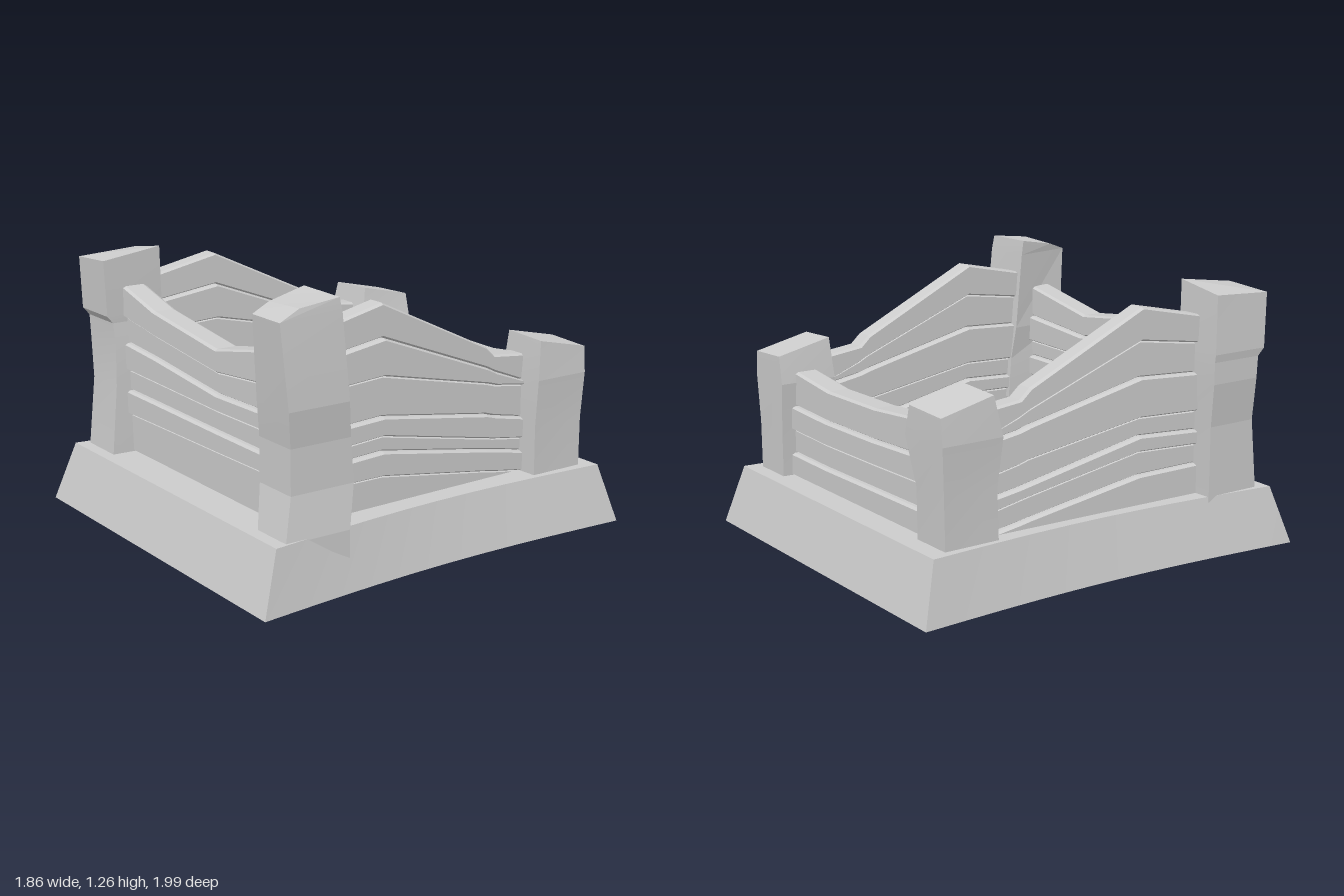
import * as THREE from 'three';
import { toCreasedNormals } from 'three/addons/utils/BufferGeometryUtils.js';

const grey = new THREE.MeshStandardMaterial({ color: 0xcccccc });
grey.name = 'plain grey';

// Joins equal-length rings of points (counter-clockwise seen from above, listed upward)
function loft(rings, { caps = false, crease = 0.5 } = {}) {
  const n = rings[0].length, index = [];
  for (let r = 0; r < rings.length - 1; r++) {
    for (let i = 0; i < n; i++) {
      const a = r * n + i, b = r * n + (i + 1) % n;
      index.push(a, b, b + n, a, b + n, a + n);
    }
  }
  const last = (rings.length - 1) * n;
  for (let i = 1; caps && i < n - 1; i++) {
    index.push(last, last + i, last + i + 1, 0, i + 1, i);
  }
  const g = new THREE.BufferGeometry();
  g.setAttribute('position', new THREE.Float32BufferAttribute(rings.flat(2), 3));
  g.setIndex(index);
  return toCreasedNormals(g, crease);
}

function add(group, name, geometry) {
  const mesh = new THREE.Mesh(geometry, grey);
  mesh.name = name;
  group.add(mesh);
  return mesh;
}

// One loop of the base: long sides pinch inward halfway
function baseRing(y, xFront, xBack, zFront, zBack, pinch) {
  const pts = [], steps = 10;
  const halfWidth = (t) => THREE.MathUtils.lerp(xFront, xBack, t) - pinch * Math.sin(Math.PI * t);
  for (let i = 0; i <= steps; i++) {
    const t = i / steps;
    pts.push([halfWidth(t), y, THREE.MathUtils.lerp(zFront, zBack, t)]);
  }
  for (let i = steps; i >= 0; i--) {
    const t = i / steps;
    pts.push([-halfWidth(t), y, THREE.MathUtils.lerp(zFront, zBack, t)]);
  }
  return pts;
}

// Post from stacked sections [y, x0, x1, z0, z1, skew of the front x0 corner];
// tops holds the four top corner heights
function post(sections, tops) {
  const rings = sections.map(([y, x0, x1, z0, z1, skew = 0], k) => {
    const h = k === sections.length - 1 ? tops : [y, y, y, y];
    return [[x0 + skew, h[0], z1], [x1, h[1], z1], [x1, h[2], z0], [x0, h[3], z0]];
  });
  return loft(rings, { caps: true, crease: 0.1 });
}

// Board cut from upper and lower outlines, extruded with chamfered edges
function board(us, top, bottom, depth) {
  const pts = us.map((u, i) => new THREE.Vector2(u, bottom[i]));
  for (let i = us.length - 1; i >= 0; i--) pts.push(new THREE.Vector2(us[i], top[i]));
  const g = new THREE.ExtrudeGeometry(new THREE.Shape(pts), {
    depth: depth - 0.03, bevelEnabled: true, bevelThickness: 0.015,
    bevelSize: 0.008, bevelOffset: -0.008, bevelSegments: 1,
  });
  return g.translate(0, 0, -depth / 2 + 0.015);
}

// Wall of touching boards: seams run from the top edge down, faces staggered
function wall(name, us, seams, depth) {
  const g = new THREE.Group();
  g.name = name;
  for (let i = 0; i < seams.length - 1; i++) {
    const m = add(g, name + 'Board', board(us, seams[i], seams[i + 1], depth));
    m.position.z = (i % 2 ? -1 : 1) * 0.01;
  }
  return g;
}

export function createModel() {
  const model = new THREE.Group();

  // Hollow base: inner wall, sloped underside, outer skirt and flat rim
  add(model, 'base', loft([
    baseRing(0.27, 0.6, 0.59, 0.66, -0.66, 0),
    baseRing(0.06, 0.6, 0.59, 0.66, -0.66, 0),
    baseRing(0, 0.93, 0.885, 0.998, -0.99, 0.055),
    baseRing(0.275, 0.875, 0.825, 0.905, -0.91, 0.055),
    baseRing(0.27, 0.6, 0.59, 0.66, -0.66, 0),
  ]));

  // Sunken floor boards with slightly skewed seams and uneven ends
  const floor = new THREE.Group();
  floor.name = 'floor';
  const cuts = [-0.66, -0.48, -0.395, -0.24, -0.025, 0.15, 0.285, 0.4, 0.54, 0.66];
  const seam = (i) => [0, 0.008, 0.015 * (i % 2 ? 1 : -1)].map((d) => d - cuts[i]);
  for (let i = 0; i < cuts.length - 1; i++) {
    const end = 0.6 + (i % 3) * 0.012;
    const g = board([-end, -0.35, end], seam(i), seam(i + 1), 0.07);
    g.rotateX(-Math.PI / 2);
    add(floor, 'floorBoard', g).position.y = 0.06 + (i % 2) * 0.016;
  }
  model.add(floor);

  // Front wall
  const front = wall('frontWall', [-0.65, -0.35, 0.18, 0.65], [
    [1.075, 1.0, 0.935, 1.025],
    [0.925, 0.885, 0.83, 0.87],
    [0.8, 0.78, 0.73, 0.74],
    [0.67, 0.665, 0.655, 0.66],
    [0.57, 0.568, 0.562, 0.56],
    [0.455, 0.46, 0.467, 0.475],
    [0.27, 0.27, 0.27, 0.27],
    [0.06, 0.06, 0.06, 0.06],
  ], 0.12);
  front.position.z = 0.685;
  model.add(front);

  // Back wall, lower and sagging
  const back = wall('backWall', [-0.65, -0.15, 0.25, 0.65], [
    [0.78, 0.74, 0.735, 0.78],
    [0.62, 0.6, 0.595, 0.61],
    [0.5, 0.49, 0.485, 0.495],
    [0.385, 0.38, 0.375, 0.38],
    [0.27, 0.27, 0.27, 0.27],
    [0.06, 0.06, 0.06, 0.06],
  ], 0.12);
  back.position.z = -0.72;
  model.add(back);

  // Side walls fall away toward the back and spread slightly toward the front
  for (const s of [1, -1]) {
    const side = wall(s > 0 ? 'leftWall' : 'rightWall', [-0.62, -0.4, -0.35, 0.24, 0.6], [
      [0.815, 0.84, 0.885, 1.165, 1.09],
      [0.68, 0.765, 0.79, 1.015, 0.965],
      [0.67, 0.705, 0.72, 0.85, 0.83],
      [0.515, 0.56, 0.575, 0.67, 0.655],
      [0.42, 0.455, 0.465, 0.585, 0.565],
      [0.355, 0.4, 0.41, 0.515, 0.5],
      [0.265, 0.3, 0.31, 0.405, 0.41],
      [0.06, 0.06, 0.06, 0.06, 0.06],
    ], 0.1);
    side.rotation.y = -Math.PI / 2 + s * 0.03;
    side.position.x = s > 0 ? 0.645 : -0.675;
    model.add(side);
  }

  // Four crooked corner posts standing on the floor
  add(model, 'frontLeftPost', post([
    [0.06, 0.645, 0.855, 0.525, 0.845],
    [0.27, 0.645, 0.855, 0.525, 0.845],
    [0.46, 0.595, 0.825, 0.485, 0.8],
    [0.66, 0.595, 0.825, 0.5, 0.8],
    [0.82, 0.58, 0.845, 0.52, 0.82, 0.03],
    [1.19, 0.575, 0.835, 0.55, 0.853, 0.06],
    [1.24, 0.575, 0.828, 0.56, 0.755, 0.035],
  ], [1.225, 1.235, 1.257, 1.26]));
  add(model, 'frontRightPost', post([
    [0.06, -0.84, -0.605, 0.56, 0.845],
    [0.27, -0.84, -0.605, 0.56, 0.845],
    [0.6, -0.84, -0.615, 0.56, 0.81],
    [0.8, -0.865, -0.62, 0.55, 0.805],
    [0.9, -0.865, -0.63, 0.55, 0.81],
    [0.935, -0.87, -0.627, 0.55, 0.84],
    [1.2, -0.86, -0.62, 0.56, 0.855],
  ], [1.185, 1.2, 1.24, 1.2]));
  add(model, 'backLeftPost', post([
    [0.06, 0.57, 0.775, -0.835, -0.565],
    [0.5, 0.56, 0.77, -0.84, -0.565],
    [0.72, 0.54, 0.785, -0.845, -0.565],
    [0.88, 0.56, 0.775, -0.845, -0.58],
  ], [0.91, 0.9, 0.84, 0.85]));
  add(model, 'backRightPost', post([
    [0.06, -0.78, -0.57, -0.82, -0.55],
    [0.5, -0.775, -0.57, -0.825, -0.56],
    [0.72, -0.79, -0.51, -0.84, -0.54],
    [0.88, -0.78, -0.545, -0.84, -0.58],
  ], [0.9, 0.91, 0.85, 0.84]));

  return model;
}
